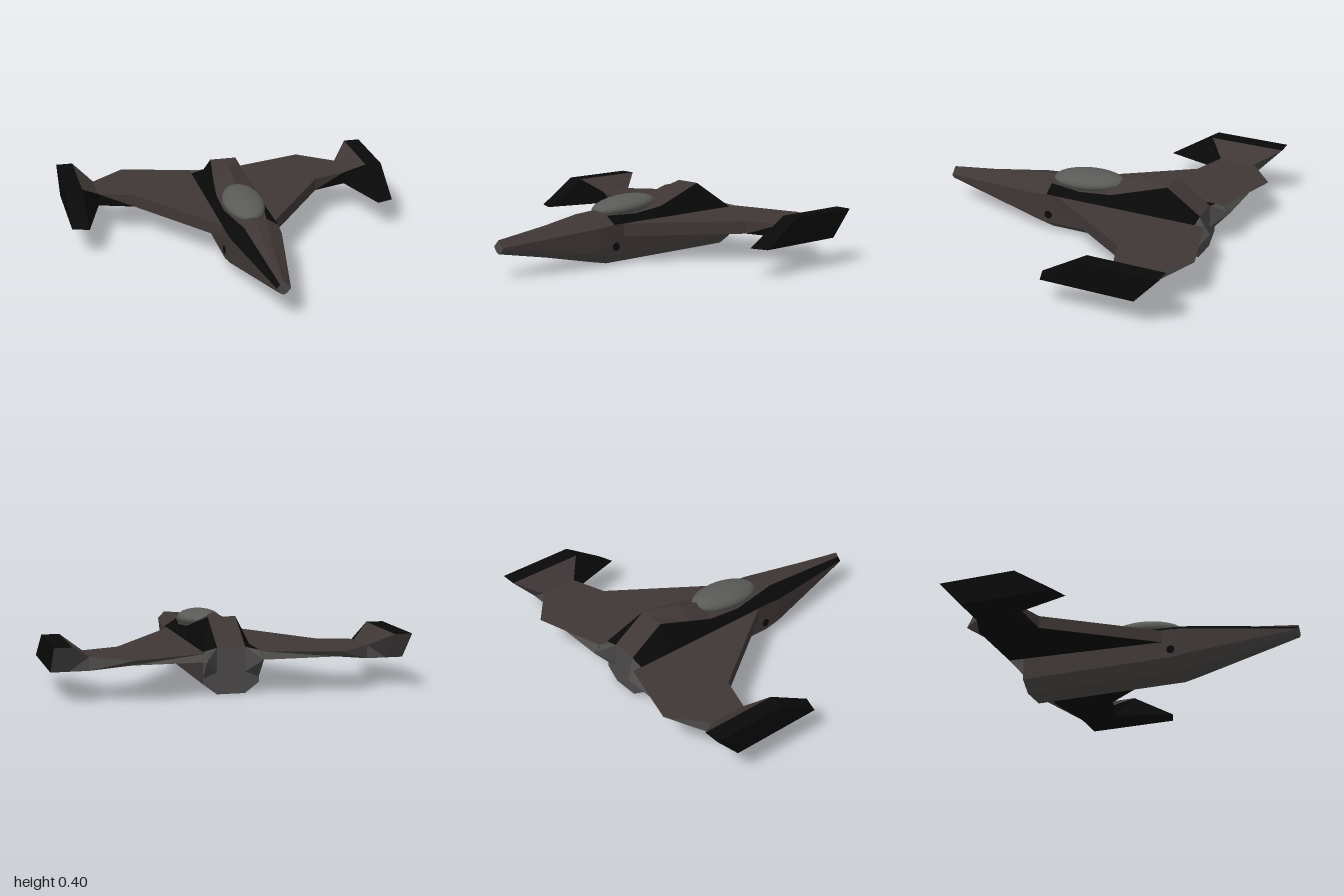
import * as THREE from 'three';
import { ConvexGeometry } from 'three/addons/geometries/ConvexGeometry.js';

const material = (name, color) => {
  const m = new THREE.MeshStandardMaterial({ color });
  m.name = name;
  return m;
};

// Lofts flat facets through rings of points; code(segment, side) gives two
// letters, one colour for each triangle of the quad.
function loft(rings, code, palette, flip) {
  const tris = {};
  const add = (key, a, b, c) => {
    (tris[key] ??= []).push(...a, ...(flip ? c : b), ...(flip ? b : c));
  };
  const n = rings[0].length;
  for (let i = 0; i < rings.length - 1; i++) {
    for (let j = 0; j < n; j++) {
      const k = (j + 1) % n, [a, b] = [rings[i], rings[i + 1]];
      const c = code(i, j);
      add(c[0], a[j], b[j], b[k]);
      add(c[1], a[j], b[k], a[k]);
    }
  }
  // end caps
  const first = rings[0], last = rings[rings.length - 1];
  const startKey = code(-1, 0)[0], endKey = code(rings.length - 1, 0)[0];
  for (let j = 1; j < n - 1; j++) {
    add(startKey, first[0], first[j], first[j + 1]);
    add(endKey, last[0], last[j + 1], last[j]);
  }
  const geometry = new THREE.BufferGeometry();
  const all = [], mats = [];
  for (const [key, list] of Object.entries(tris)) {
    geometry.addGroup(all.length / 3, list.length / 3, mats.length);
    for (const v of list) all.push(v);
    mats.push(palette[key]);
  }
  geometry.setAttribute('position', new THREE.Float32BufferAttribute(all, 3));
  geometry.computeVertexNormals();
  return new THREE.Mesh(geometry, mats);
}

export function createModel() {
  const model = new THREE.Group();
  const palette = {
    b: material('brown hull', 0x3f3736),
    k: material('black panel', 0x090909),
    g: material('grey metal', 0x4c4a49),
    c: material('canopy grey', 0x5a5a58),
  };
  const put = (mesh, name) => {
    mesh.name = name;
    model.add(mesh);
    return mesh;
  };

  // Fuselage: z, top y, shoulder x y, upper side x y, lower side x y, keel x y
  const sections = [
    [0.92, 0.22, 0.02, 0.2, 0.04, 0.18, 0.04, 0.175, 0.02, 0.15],
    [0.3, 0.3, 0.07, 0.285, 0.155, 0.23, 0.155, 0.075, 0.075, 0.02],
    [0.2, 0.31, 0.09, 0.285, 0.16, 0.24, 0.16, 0.06, 0.08, 0],
    [0, 0.31, 0.12, 0.28, 0.16, 0.24, 0.16, 0.06, 0.08, 0],
    [-0.2, 0.35, 0.12, 0.3, 0.16, 0.24, 0.16, 0.06, 0.08, 0],
    [-0.35, 0.4, 0.105, 0.345, 0.16, 0.24, 0.16, 0.06, 0.08, 0],
    [-0.54, 0.4, 0.08, 0.4, 0.16, 0.24, 0.16, 0.06, 0.08, 0],
    [-0.745, 0.265, 0.08, 0.26, 0.16, 0.24, 0.16, 0.06, 0.08, 0],
  ];
  const hullRings = sections.map(([z, top, ...p]) => {
    const half = [0, 2, 4, 6].map((i) => [p[i], p[i + 1], z]);
    const keel = [0, z > 0.9 ? 0.14 : p[7], z];
    return [[0, top, z], ...half, keel,
      ...half.toReversed().map(([x, y]) => [-x, y, z])];
  });
  const hullCode = (i, j) => {
    if (i < 0 || i === sections.length - 1) return 'gg';
    if (j === 8 || (j === 1 && i >= 2)) return 'kk';
    return j >= 3 && j <= 6 ? 'gg' : 'bb';
  };
  // sides run clockwise from the top; side 8 is the right upper band
  put(loft(hullRings, (i, j) => hullCode(i, j), palette, true), 'fuselage');
  fixWinding(model.children[0]);

  // Canopy bubble
  const canopy = put(new THREE.Mesh(new THREE.SphereGeometry(1, 28, 18), palette.c), 'canopy');
  canopy.scale.set(0.12, 0.058, 0.225);
  canopy.position.set(0, 0.315, -0.005);
  canopy.rotation.x = 0.08;

  // Wings with raised tips: x, then y z of top front, top rear, bottom rear, bottom front
  const stations = [
    [0.155, 0.24, 0.14, 0.24, -0.8, 0.2, -0.84, 0.165, 0.14],
    [0.58, 0.24, -0.46, 0.24, -0.92, 0.2, -0.84, 0.165, -0.46],
    [0.79, 0.24, -0.53, 0.24, -0.75, 0.165, -0.75, 0.165, -0.53],
    [0.9, 0.32, -0.43, 0.32, -0.89, 0.165, -0.75, 0.165, -0.16],
    [1, 0.32, -0.43, 0.32, -0.89, 0.165, -0.75, 0.165, -0.195],
  ];
  const wingCodes = [
    ['bb', 'gg', 'kk', 'bb'],
    ['bb', 'gg', 'kk', 'kb'],
    ['bb', 'gg', 'kk', 'kk'],
    ['kk', 'gg', 'kk', 'kk'],
  ];
  for (const [s, side] of [[1, 'left'], [-1, 'right']]) {
    const rings = stations.map(([x, ...p]) =>
      [0, 2, 4, 6].map((i) => [s * x, p[i], p[i + 1]]));
    put(loft(rings, (i, j) => wingCodes[i]?.[j] ?? 'kk', palette, s < 0), side + 'Wing');

    // Rear fairing between hull and wing root
    const fairing = [
      [0.159, 0.09, -0.744], [0.16, 0.2, -0.84], [0.16, 0.24, -0.8],
      [0.08, 0.258, -0.744], [0.08, 0.12, -0.744], [0.159, 0.238, -0.7],
    ].map(([x, y, z]) => new THREE.Vector3(s * x, y, z));
    put(new THREE.Mesh(new ConvexGeometry(fairing), palette.g), side + 'RearFairing');

    // Small gun port on the hull side
    const port = put(new THREE.Mesh(new THREE.CylinderGeometry(0.025, 0.025, 0.008, 8), palette.k), side + 'GunPort');
    port.rotation.z = Math.PI / 2;
    port.position.set(s * 0.16, 0.11, 0.19);
  }
  return model;
}

// Turns the facets outward if the enclosed volume comes out negative
function fixWinding(mesh) {
  const p = mesh.geometry.attributes.position;
  const [a, b, c] = [0, 1, 2].map(() => new THREE.Vector3());
  let volume = 0;
  for (let i = 0; i < p.count; i += 3) {
    [a, b, c].forEach((v, k) => v.fromBufferAttribute(p, i + k));
    volume += a.dot(b.clone().cross(c));
  }
  if (volume >= 0) return;
  for (let i = 0; i < p.count; i += 3) {
    b.fromBufferAttribute(p, i + 1);
    c.fromBufferAttribute(p, i + 2);
    p.setXYZ(i + 1, c.x, c.y, c.z);
    p.setXYZ(i + 2, b.x, b.y, b.z);
  }
  mesh.geometry.computeVertexNormals();
}
